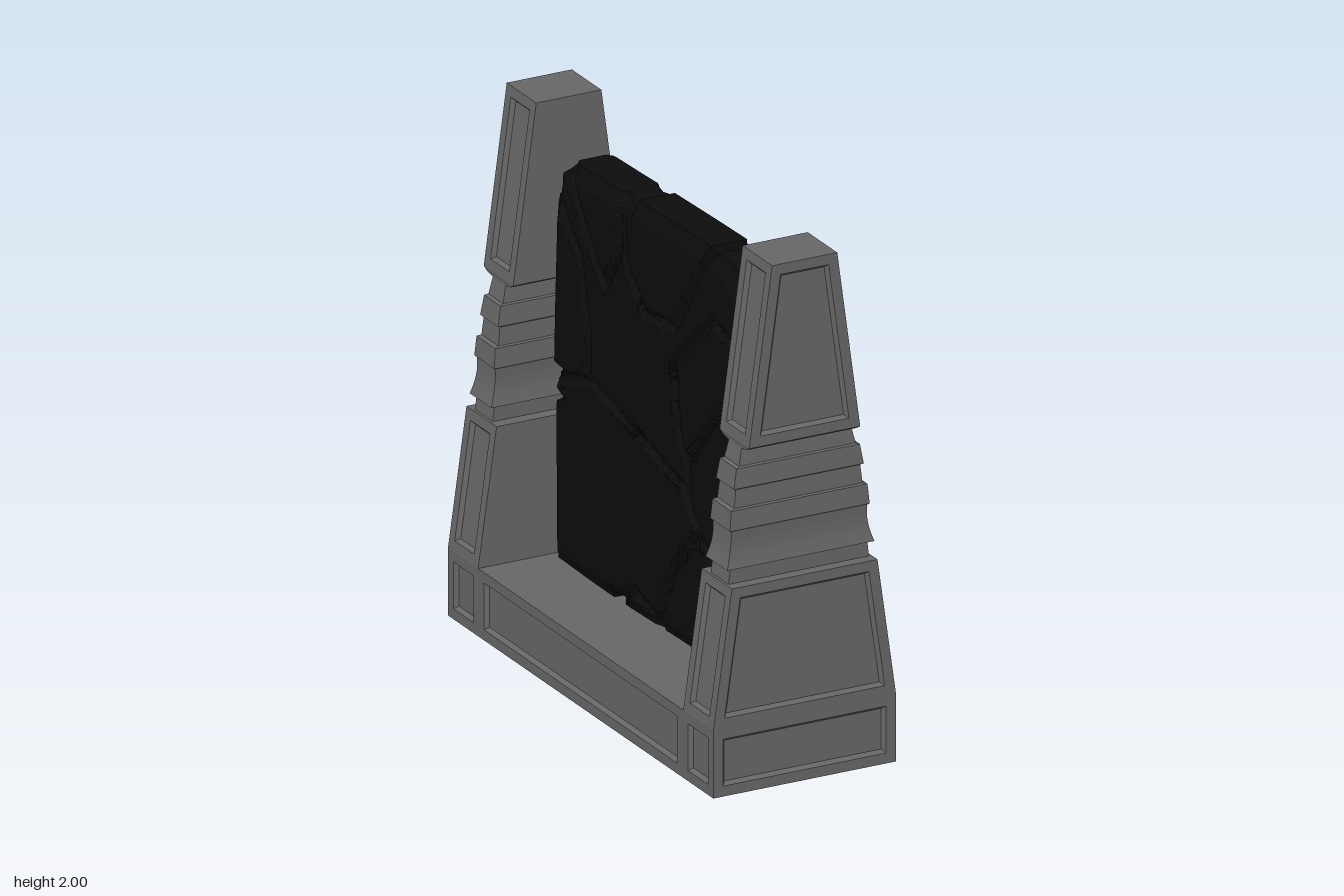
import * as THREE from 'three';

const stoneMat = new THREE.MeshStandardMaterial({ color: 0x666666, flatShading: true });
const slabMat = new THREE.MeshStandardMaterial({ color: 0x0c0c0c, flatShading: true });

const v = (x, y, z) => new THREE.Vector3(x, y, z);

// Plain quad, corners counter-clockwise seen from outside
function quad(out, a, b, c, d) {
  for (const p of [a, b, c, a, c, d]) out.push(p.x, p.y, p.z);
}

// Quad with a flush border and a sunken, bevelled panel
function panel(out, a, b, c, d, margin = 0.04, bevel = 0.012, depth = 0.016) {
  const n = b.clone().sub(a).cross(d.clone().sub(a)).normalize();
  const wBottom = a.distanceTo(b), wTop = d.distanceTo(c), h = a.distanceTo(d);
  const inset = (m, sink) => [[0, 0], [1, 0], [1, 1], [0, 1]].map(([i, j]) => {
    const t = j ? 1 - m / h : m / h;
    const s = m / (wBottom + (wTop - wBottom) * t);
    const left = a.clone().lerp(d, t), right = b.clone().lerp(c, t);
    return left.lerp(right, i ? 1 - s : s).addScaledVector(n, -sink);
  });
  const rings = [[a, b, c, d], inset(margin, 0), inset(margin + bevel, depth)];
  for (let k = 0; k < 2; k++) {
    for (let i = 0; i < 4; i++) {
      const j = (i + 1) % 4;
      quad(out, rings[k][i], rings[k][j], rings[k + 1][j], rings[k + 1][i]);
    }
  }
  quad(out, ...rings[2]);
}

function mesh(name, positions, mat) {
  const g = new THREE.BufferGeometry();
  g.setAttribute('position', new THREE.Float32BufferAttribute(positions, 3));
  g.computeVertexNormals();
  const m = new THREE.Mesh(g, mat);
  m.name = name;
  return m;
}

// Tapered block: panels on the outer end and both sides, plain inner face and top
function pillarBlock(name, y0, y1, x0, x1, zIn, zOut) {
  const o = [];
  panel(o, v(-x0, y0, zOut), v(x0, y0, zOut), v(x1, y1, zOut), v(-x1, y1, zOut));
  panel(o, v(x0, y0, zOut), v(x0, y0, zIn), v(x1, y1, zIn), v(x1, y1, zOut));
  panel(o, v(-x0, y0, zIn), v(-x0, y0, zOut), v(-x1, y1, zOut), v(-x1, y1, zIn));
  quad(o, v(x0, y0, zIn), v(-x0, y0, zIn), v(-x1, y1, zIn), v(x1, y1, zIn));
  quad(o, v(-x1, y1, zOut), v(x1, y1, zOut), v(x1, y1, zIn), v(-x1, y1, zIn));
  return mesh(name, o, stoneMat);
}

// Stack of rectangles [y, half width, half depth] joined into a moulding
function moulding(name, levels, zc) {
  const o = [];
  const ring = ([y, hx, hz]) => [v(-hx, y, zc + hz), v(hx, y, zc + hz), v(hx, y, zc - hz), v(-hx, y, zc - hz)];
  for (let k = 0; k + 1 < levels.length; k++) {
    const p = ring(levels[k]), q = ring(levels[k + 1]);
    for (let i = 0; i < 4; i++) quad(o, p[i], p[(i + 1) % 4], q[(i + 1) % 4], q[i]);
  }
  return mesh(name, o, stoneMat);
}

function pillar() {
  const g = new THREE.Group();
  g.name = 'pillar';
  g.add(pillarBlock('lowerBlock', 0.26, 0.79, 0.37, 0.295, 0.765, 0.99));
  g.add(pillarBlock('upperBlock', 1.315, 2, 0.225, 0.132, 0.77, 0.99));
  const levels = [[0.785, 0.285, 0.066], [0.845, 0.278, 0.066]];
  // concave band
  for (let i = 0; i <= 8; i++) {
    const t = i / 8, dip = Math.sin(t * Math.PI);
    levels.push([0.85 + 0.14 * t, 0.298 - 0.024 * t - 0.007 * dip, 0.081 - 0.011 * t - 0.007 * dip]);
  }
  // stepped bands and the flare under the upper block
  levels.push(
    [0.995, 0.283, 0.074], [1.07, 0.276, 0.070], [1.075, 0.260, 0.063], [1.145, 0.252, 0.060],
    [1.15, 0.263, 0.067], [1.225, 0.250, 0.062], [1.23, 0.236, 0.055], [1.295, 0.222, 0.048],
    [1.3, 0.222, 0.085], [1.315, 0.225, 0.11]);
  g.add(moulding('steppedNeck', levels, 0.88));
  return g;
}

// Half of the base: one long side, one end, half of top and bottom
function baseHalf() {
  const o = [], X = 0.37, Y = 0.26, Z = 0.99;
  for (const [z1, z0] of [[Z, 0.76], [0.76, -0.76], [-0.76, -Z]]) {
    panel(o, v(X, 0, z1), v(X, 0, z0), v(X, Y, z0), v(X, Y, z1));
  }
  panel(o, v(-X, 0, Z), v(X, 0, Z), v(X, Y, Z), v(-X, Y, Z));
  quad(o, v(-X, Y, Z), v(X, Y, Z), v(X, Y, 0), v(-X, Y, 0));
  quad(o, v(-X, 0, 0), v(X, 0, 0), v(X, 0, Z), v(-X, 0, Z));
  return mesh('baseHalf', o, stoneMat);
}

// Cracked slab: broken outline [z, y], rings shrinking to the middle, grooves cut along crack lines
function slab() {
  const outline = [
    [0.70, 1.81], [0.59, 1.85], [0.495, 1.86], [0.49, 1.825], [0.425, 1.825], [0.42, 1.86], [-0.11, 1.85],
    [-0.13, 1.825], [-0.19, 1.845], [-0.59, 1.83], [-0.605, 1.80], [-0.675, 1.755], [-0.715, 1.62],
    [-0.73, 1.29], [-0.738, 1.035], [-0.655, 1.02], [-0.742, 0.94], [-0.655, 0.905], [-0.722, 0.865],
    [-0.715, 0.265], [-0.285, 0.265], [-0.28, 0.28], [-0.235, 0.28], [-0.23, 0.265], [0.40, 0.27],
    [0.59, 0.295], [0.70, 0.36], [0.725, 0.44], [0.755, 0.43], [0.755, 0.55], [0.73, 0.73],
    [0.735, 1.45], [0.72, 1.56], [0.745, 1.58], [0.745, 1.68], [0.725, 1.755]];
  const cracks = [
    [[0.74, 1.46], [0.5, 1.22], [0.31, 1.0]],
    [[0.64, 1.56], [0.48, 1.6], [0.2, 1.34], [0.24, 1.1], [0.31, 0.98], [0.33, 0.85]],
    [[0.3, 0.89], [-0.07, 0.97], [-0.45, 1.05], [-0.74, 0.94]],
    [[0.75, 0.45], [0.5, 0.65], [0.35, 0.8], [0.27, 0.9]],
    [[0.74, 0.62], [0.38, 0.73], [0.2, 0.55], [0.05, 0.28]],
    [[0.45, 1.85], [0.2, 1.48], [-0.02, 1.45], [-0.16, 1.6], [-0.18, 1.85]],
    [[-0.2, 1.84], [-0.21, 1.6], [-0.32, 1.45], [-0.48, 1.65], [-0.6, 1.84]],
    [[-0.7, 1.7], [-0.5, 1.5], [-0.44, 1.2], [-0.46, 1.04]],
    [[0.1, 0.3], [-0.1, 0.36], [-0.26, 0.26]]];
  const crackDistance = (z, y) => {
    let best = 1;
    for (const c of cracks) for (let i = 0; i + 1 < c.length; i++) {
      const [az, ay] = c[i], dz = c[i + 1][0] - az, dy = c[i + 1][1] - ay;
      const t = THREE.MathUtils.clamp(((z - az) * dz + (y - ay) * dy) / (dz * dz + dy * dy), 0, 1);
      best = Math.min(best, Math.hypot(z - az - t * dz, y - ay - t * dy));
    }
    return best;
  };
  // subdivide the outline
  const edge = [];
  outline.forEach(([z, y], i) => {
    const [z2, y2] = outline[(i + 1) % outline.length];
    const n = Math.ceil(Math.hypot(z2 - z, y2 - y) / 0.025);
    for (let k = 0; k < n; k++) edge.push([z + (z2 - z) * k / n, y + (y2 - y) * k / n]);
  });
  const R = 44, N = edge.length, cy = 1.05, pos = [], index = [];
  for (let k = 0; k <= 2 * R + 1; k++) {
    const side = k <= R ? 1 : -1;
    const t = (k <= R ? k : 2 * R + 1 - k) / R;
    for (const [ez, ey] of edge) {
      const z = ez * t, y = cy + (ey - cy) * t;
      const groove = 0.02 * (1 - THREE.MathUtils.smoothstep(crackDistance(z, y), 0.006, 0.028));
      const round = 0.032 * THREE.MathUtils.smoothstep(t, 0.92, 1);
      const wave = 0.005 * Math.sin(5 * z + 3 * side) * Math.cos(4 * y + side);
      pos.push(side * (0.105 + wave - groove - round), y, z);
    }
  }
  for (let k = 0; k <= 2 * R; k++) for (let i = 0; i < N; i++) {
    const j = (i + 1) % N, a = k * N + i, b = k * N + j;
    index.push(a, b + N, a + N, a, b, b + N);
  }
  const m = mesh('crackedSlab', pos, slabMat);
  m.geometry.setIndex(index);
  m.geometry.computeVertexNormals();
  return m;
}

export function createModel() {
  const model = new THREE.Group();
  model.name = 'slabMonument';
  const base = new THREE.Group();
  base.name = 'base';
  model.add(base);
  for (const [side, turn] of [['front', 0], ['back', Math.PI]]) {
    const half = baseHalf(), post = pillar();
    half.name = side + 'BaseHalf';
    post.name = side + 'Pillar';
    half.rotation.y = post.rotation.y = turn;
    base.add(half);
    model.add(post);
  }
  model.add(slab());
  return model;
}
